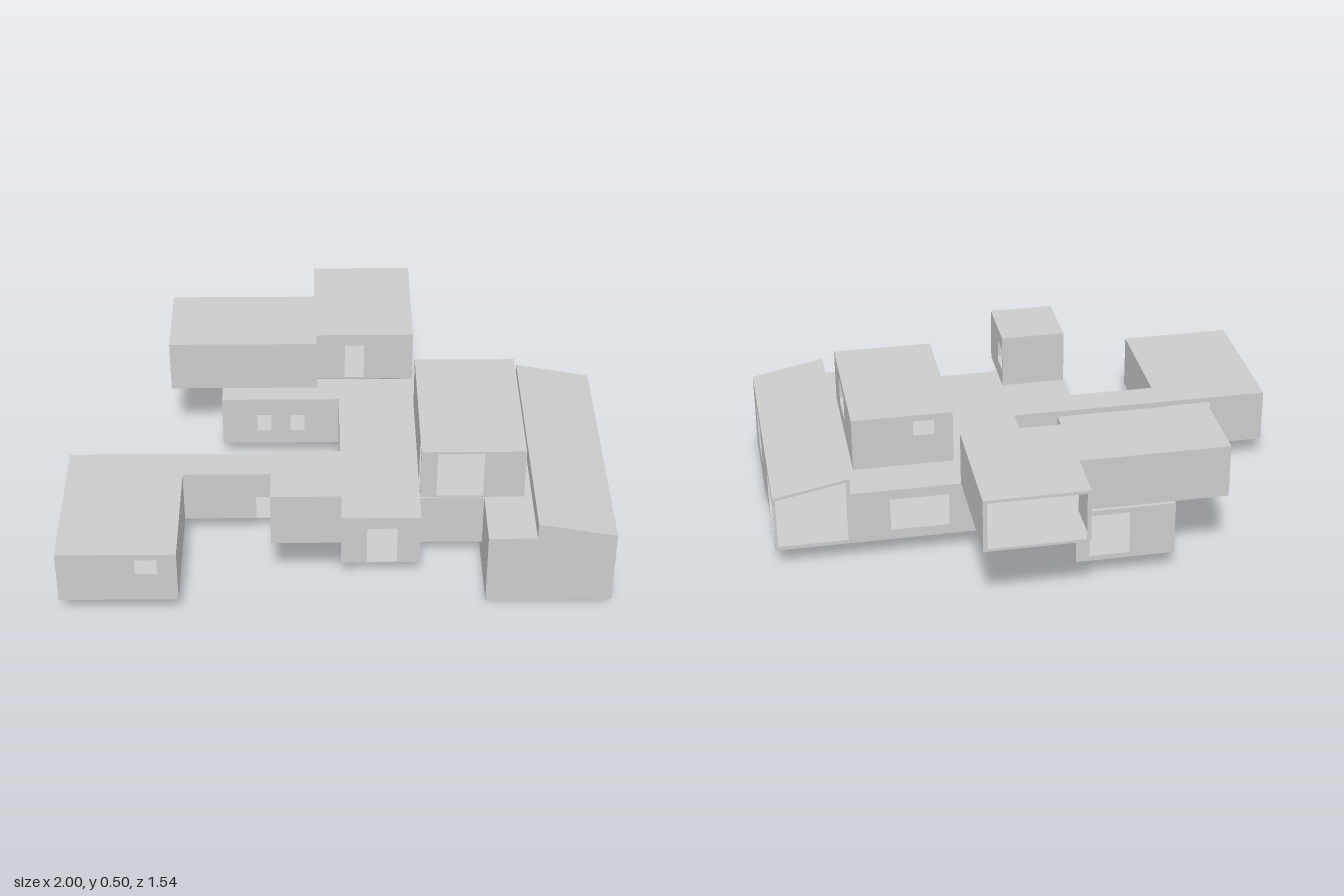
import * as THREE from 'three';

const material = new THREE.MeshStandardMaterial({ color: 0xcccccc, side: THREE.DoubleSide, flatShading: true });

// Rectangle as corner points
const rect = (a0, a1, b0, b1) => [[a0, b0], [a1, b0], [a1, b1], [a0, b1]];

// Flat panel with openings
function panel(name, outline, openings = []) {
  const toVectors = (pts) => pts.map(([a, b]) => new THREE.Vector2(a, b));
  const shape = new THREE.Shape(toVectors(outline));
  for (const o of openings) shape.holes.push(new THREE.Path(toVectors(o)));
  const mesh = new THREE.Mesh(new THREE.ShapeGeometry(shape), material);
  mesh.name = name;
  return mesh;
}

// Wall facing z: points are (x, y)
function wallZ(name, z, outline, openings) {
  const mesh = panel(name, outline, openings);
  mesh.position.z = z;
  return mesh;
}

// Wall facing x: points are (z, y)
function wallX(name, x, outline, openings) {
  const mesh = panel(name, outline, openings);
  mesh.rotation.y = -Math.PI / 2;
  mesh.position.x = x;
  return mesh;
}

// Horizontal slab: points are (x, z)
function slab(name, y, outline) {
  const mesh = panel(name, outline);
  mesh.rotation.x = Math.PI / 2;
  mesh.position.y = y;
  return mesh;
}

// Storey from a right-angled plan. Openings are listed per plan edge as
// [from, to, bottom, top]; an edge set to null gets no wall.
function storey(name, plan, y0, y1, openings = {}, floorPlan = plan, roofPlan = plan) {
  const group = new THREE.Group();
  group.name = name;
  plan.forEach(([xa, za], i) => {
    if (openings[i] === null) return;
    const [xb, zb] = plan[(i + 1) % plan.length];
    const holes = (openings[i] || []).map((o) => rect(...o));
    group.add(xa === xb
      ? wallX('wall', xa, rect(Math.min(za, zb), Math.max(za, zb), y0, y1), holes)
      : wallZ('wall', za, rect(Math.min(xa, xb), Math.max(xa, xb), y0, y1), holes));
  });
  group.add(slab('floor', y0, floorPlan), slab('roof', y1, roofPlan));
  return group;
}

export function createModel() {
  const model = new THREE.Group();
  model.name = 'house';

  const LOW = 0.08, MID = 0.29, TOP = 0.5;
  const UP = MID + 0.003;

  // Ground storey, all rooms along one outline
  const west = [
    [0.54, 0.46], [0.305, 0.46], [0.305, 0.575], [0.015, 0.575], [0.015, 0.45],
    [-0.235, 0.45], [-0.235, 0.315], [-0.57, 0.315], [-0.57, 0.77], [-1, 0.77],
    [-1, 0.19], [0.015, 0.19], [0.015, -0.155], [-0.44, -0.155], [-0.44, -0.575],
    [-0.07, -0.575], [-0.07, -0.29],
  ];
  const plan = [...west, [0.715, -0.29], [0.715, 0.695], [0.54, 0.695]];
  const floorPlan = [...west, [1, -0.29], [1, 0.195], [0.54, 0.195]];
  model.add(storey('groundStorey', plan, LOW, MID, {
    2: [[0.11, 0.22, 0.083, 0.24]],
    6: [[-0.3, -0.238, 0.083, 0.24]],
    8: [[-0.72, -0.64, 0.2, 0.265]],
    9: [[0.35, 0.5, 0.12, 0.25]],
    10: [[-0.78, -0.6, 0.09, 0.27]],
    12: [[-0.305, -0.25, 0.14, 0.215], [-0.175, -0.12, 0.14, 0.215]],
    13: [[-0.49, -0.38, 0.14, 0.24]],
    14: [[-0.27, -0.12, 0.1, 0.27]],
    16: [[0.03, 0.11, 0.083, 0.235], [0.35, 0.57, 0.12, 0.25]],
    17: null, 18: null,
  }, floorPlan));
  model.add(wallX('innerWall', -0.07, rect(-0.29, -0.155, LOW, MID), [rect(-0.28, -0.175, 0.083, 0.235)]));

  // East wing with a single-pitch roof and a sunken garage floor
  const wing = new THREE.Group();
  wing.name = 'eastWing';
  const RIDGE = 0.355, EAVE = 0.3;
  wing.add(
    wallZ('frontWall', 0.695, [[0.54, 0], [1, 0], [1, EAVE], [0.715, RIDGE], [0.715, MID], [0.54, MID]]),
    wallZ('backWall', -0.29, [[0.715, LOW], [1, LOW], [1, EAVE], [0.715, RIDGE]],
      [[[0.73, 0.095], [0.99, 0.095], [0.99, 0.29], [0.73, 0.34]]]),
    wallX('sideWall', 1,
      [[-0.29, LOW], [0.195, LOW], [0.195, 0], [0.695, 0], [0.695, EAVE], [-0.29, EAVE]],
      [rect(-0.278, -0.012, 0.09, 0.265), rect(0.33, 0.56, 0.1, 0.26)]),
    wallX('roofRiser', 0.715, rect(-0.29, 0.695, MID, RIDGE)),
    slab('garageFloor', 0, rect(0.54, 1, 0.195, 0.695)),
    wallX('garageStepSide', 0.54, rect(0.195, 0.695, 0, LOW)),
    wallZ('garageStepBack', 0.195, rect(0.54, 1, 0, LOW)),
  );
  const run = 1 - 0.715;
  const pitched = new THREE.Mesh(new THREE.PlaneGeometry(Math.hypot(run, RIDGE - EAVE), 0.985), material);
  pitched.name = 'pitchedRoof';
  pitched.geometry.rotateX(-Math.PI / 2);
  pitched.rotation.z = -Math.atan2(RIDGE - EAVE, run);
  pitched.position.set(0.715 + run / 2, (RIDGE + EAVE) / 2, 0.2025);
  wing.add(pitched);
  model.add(wing);

  // Upper east room
  model.add(storey('upperEastRoom', rect(0.305, 0.685, -0.12, 0.46), UP, TOP, {
    0: [[0.375, 0.455, 0.415, 0.475]],
    1: [[0.14, 0.3, 0.36, 0.465]],
    2: [[0.365, 0.535, 0.3, 0.49]],
    3: [[0.37, 0.45, 0.3, 0.48]],
  }));

  // Small overhanging upper room at the front
  model.add(storey('upperFrontRoom', rect(-0.235, 0.015, 0.45, 0.71), UP - 0.003, TOP, {
    1: [[0.46, 0.545, 0.355, 0.445]],
  }));

  // Upper back rooms, L-shaped
  model.add(storey('upperBackRooms', [
    [-0.64, -0.565], [-0.08, -0.565], [-0.08, -0.775], [0.305, -0.775],
    [0.305, -0.29], [-0.07, -0.29], [-0.07, -0.23], [-0.64, -0.23],
  ], UP, TOP, {
    2: [[-0.065, 0.29, 0.303, 0.488]],
    4: [[0.04, 0.115, 0.3, 0.45]],
    5: [[-0.286, -0.234, 0.3, 0.44]],
    7: [[-0.553, -0.233, 0.3, 0.488]],
  }));

  return model;
}
